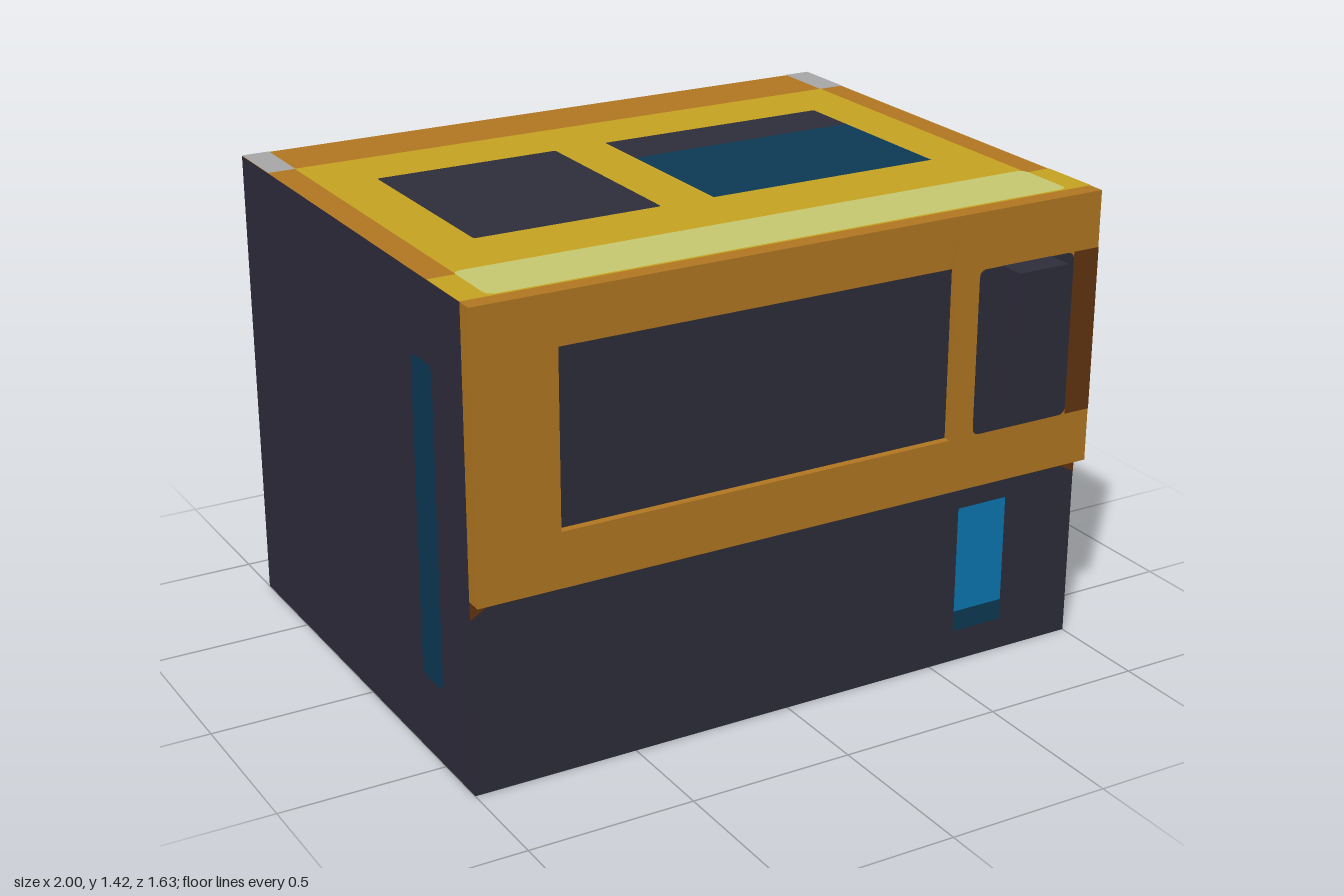
import * as THREE from 'three';

const mat = (name, color) => {
  const m = new THREE.MeshStandardMaterial({ color });
  m.name = name;
  return m;
};

// rectangle outline from (x0,y0) to (x1,y1) with rounded corners
function rect(x0, y0, x1, y1, r = 0) {
  const s = new THREE.Shape();
  if (!r) {
    s.moveTo(x0, y0).lineTo(x1, y0).lineTo(x1, y1).lineTo(x0, y1).closePath();
    return s;
  }
  s.moveTo(x0 + r, y0).lineTo(x1 - r, y0).quadraticCurveTo(x1, y0, x1, y0 + r);
  s.lineTo(x1, y1 - r).quadraticCurveTo(x1, y1, x1 - r, y1);
  s.lineTo(x0 + r, y1).quadraticCurveTo(x0, y1, x0, y1 - r);
  s.lineTo(x0, y0 + r).quadraticCurveTo(x0, y0, x0 + r, y0);
  return s;
}

export function createModel() {
  const dark = mat('charcoal', 0x2e2d3c);
  const orange = mat('orange', 0xb47822);
  const brown = mat('dark brown', 0x63340f);
  const yellow = mat('yellow', 0xc8a422);
  const pale = mat('pale yellow', 0xc8ca70);
  const teal = mat('deep teal', 0x0d3a56);
  const blue = mat('bright blue', 0x0c78b4);
  const grey = mat('light grey', 0xa9a9a9);

  const model = new THREE.Group();
  model.name = 'boxOven';
  const X = 1, H = 1.42, BACK = -0.815, FRONT = 0.685, PANEL = 0.735, E = 0.0015;

  function add(name, geo, material) {
    const m = new THREE.Mesh(geo, material);
    m.name = name;
    model.add(m);
    return m;
  }
  function box(name, x0, x1, y0, y1, z0, z1, material) {
    const g = new THREE.BoxGeometry(x1 - x0, y1 - y0, z1 - z0);
    g.translate((x0 + x1) / 2, (y0 + y1) / 2, (z0 + z1) / 2);
    return add(name, g, material);
  }
  // painted face on a plane facing the front
  const paintFront = (name, shape, z, material) =>
    add(name, new THREE.ShapeGeometry(shape).translate(0, 0, z), material);
  // painted face on the top, given in x and z
  const paintTop = (name, x0, x1, z0, z1, layer, material, r = 0) =>
    add(name, new THREE.ShapeGeometry(rect(x0, -z1, x1, -z0, r))
      .rotateX(-Math.PI / 2).translate(0, H + E * layer, 0), material);

  // cabinet
  box('cabinet', -X, X, 0, H, BACK, FRONT, [dark, dark, orange, dark, dark, dark]);

  // front panel: solid backing plus a frame around the shallow window recess
  const MID = 0.71;
  box('panelBacking', -X, X, 0.585, H, FRONT, MID, orange);
  const frame = rect(-X, 0.585, X, H);
  frame.holes.push(rect(-0.75, 0.75, 0.5, 1.34));
  add('panelFrame', new THREE.ExtrudeGeometry(frame, { depth: PANEL - MID, bevelEnabled: false })
    .translate(0, 0, MID), orange);
  paintFront('window', rect(-0.75, 0.75, 0.5, 1.26), MID + E, dark);

  // handle and the patches behind it
  paintFront('handlePatch', rect(0.58, 0.75, 0.912, 1.25, 0.025), PANEL + E, dark);
  paintFront('handleShade', rect(0.912, 0.75, X, 1.25), PANEL + E, brown);
  box('handle', 0.66, 0.83, 0.835, 1.25, PANEL, 0.815, dark);

  // lower front: indicator and corner marks
  paintFront('indicator', rect(0.58, 0.165, 0.75, 0.5), FRONT + E, blue);
  paintFront('indicatorBase', rect(0.58, 0.1, 0.75, 0.165), FRONT + E, teal);
  for (const s of [-1, 1]) {
    const tri = new THREE.Shape([[1, 0.53], [1, 0.585], [0.9, 0.585]]
      .map(([x, y]) => new THREE.Vector2(s * x, y)));
    paintFront('cornerMark', tri, FRONT + E, brown);
  }

  // top: yellow field, pale band, two openings, corner patches
  paintTop('topField', -0.917, 0.917, -0.607, FRONT, 1, yellow, 0.01);
  paintTop('topBand', -0.92, 0.92, 0.47, 0.68, 2, pale, 0.03);
  paintTop('topSquare', -0.75, -0.17, -0.39, 0.25, 2, dark, 0.01);
  paintTop('topScreenEdge', 0, 0.75, -0.39, -0.205, 2, dark);
  paintTop('topScreen', 0, 0.75, -0.205, 0.25, 2, teal);
  for (const [a, b] of [[-X, -0.915], [0.915, X]]) {
    paintTop('topCornerGrey', a, b, BACK, -0.605, 1, grey);
    paintTop('topCornerYellow', a, b, 0.49, FRONT, 1, yellow);
  }

  // teal strips on both sides, the back and the underside
  const side = () => new THREE.ShapeGeometry(rect(-0.065, 0.235, 0.065, 1.185, 0.03));
  for (const s of [-1, 1]) {
    add('sideStrip', side().rotateY(s * Math.PI / 2).translate(s * (X + E / 2), 0, 0.435), teal);
  }
  add('backStrip', new THREE.ShapeGeometry(rect(-0.085, 0.235, 0.085, 1.185, 0.04))
    .rotateY(Math.PI).translate(0.665, 0, BACK - E), teal);
  add('bottomStrip', new THREE.ShapeGeometry(rect(0.58, -0.57, 0.75, 0.435, 0.04))
    .rotateX(Math.PI / 2).translate(0, -E / 2, 0), teal);

  return model;
}
